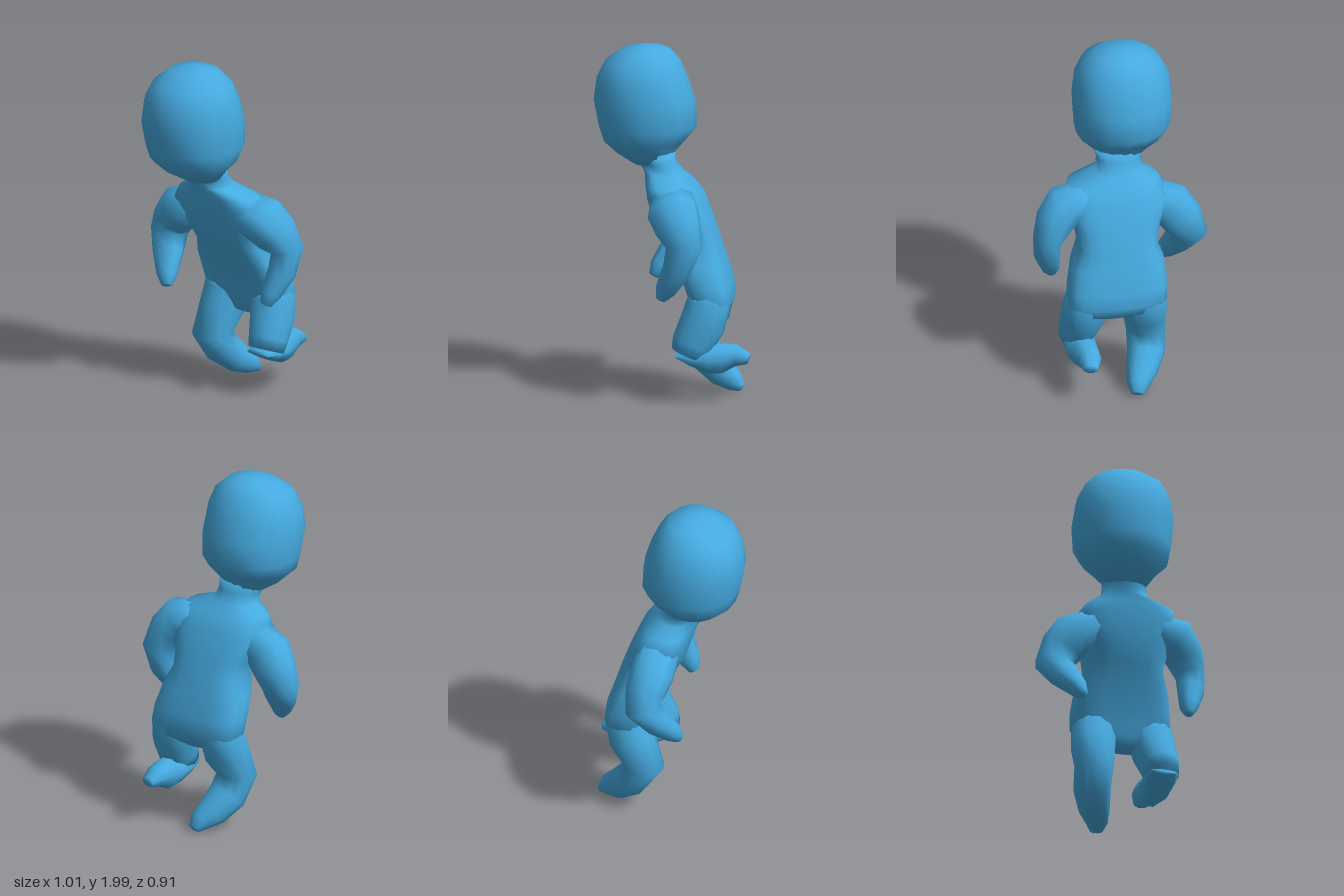
import * as THREE from 'three';

const skin = new THREE.MeshStandardMaterial({ color: 0x45aae0 });
skin.name = 'skyBlue';

// Closed smooth skin through rings { c: centre, t: direction, a, b: radii, p: roundness }, ordered along t.
// Roundness below 1 squares off the cross-section.
function loft(name, rings, sides) {
  const pos = [], idx = [];
  const soft = (v, p) => Math.sign(v) * Math.pow(Math.abs(v), p);
  for (const { c, t, a, b, p } of rings) {
    const u = new THREE.Vector3(1, 0, 0).addScaledVector(t, -t.x).normalize();
    const v = new THREE.Vector3().crossVectors(t, u);
    for (let j = 0; j < sides; j++) {
      const th = (j / sides) * Math.PI * 2;
      const q = c.clone()
        .addScaledVector(u, a * soft(Math.cos(th), p))
        .addScaledVector(v, b * soft(Math.sin(th), p));
      pos.push(q.x, q.y, q.z);
    }
  }
  const n = rings.length;
  for (let i = 0; i < n - 1; i++) {
    for (let j = 0; j < sides; j++) {
      const k = (j + 1) % sides;
      const p = i * sides + j, q = i * sides + k;
      idx.push(p, q, p + sides, q, q + sides, p + sides);
    }
  }
  // End caps
  const first = rings[0].c, last = rings[n - 1].c, s = n * sides, base = (n - 1) * sides;
  pos.push(first.x, first.y, first.z, last.x, last.y, last.z);
  for (let j = 0; j < sides; j++) {
    const k = (j + 1) % sides;
    idx.push(s, k, j, s + 1, base + j, base + k);
  }
  const g = new THREE.BufferGeometry();
  g.setAttribute('position', new THREE.Float32BufferAttribute(pos, 3));
  g.setIndex(idx);
  g.computeVertexNormals();
  const mesh = new THREE.Mesh(g, skin);
  mesh.name = name;
  return mesh;
}

// Level slices, top down: [y, xMin, xMax, zMin, zMax, roundness]
const slices = (list) => list.map(([y, x0, x1, z0, z1, p = 0.95]) => ({
  c: new THREE.Vector3((x0 + x1) / 2, y, (z0 + z1) / 2),
  t: new THREE.Vector3(0, -1, 0),
  a: (x1 - x0) / 2,
  b: (z1 - z0) / 2,
  p,
}));

// Rings square to a path: [x, y, z, radius across, radius in depth]
function along(list) {
  const pts = list.map((p) => new THREE.Vector3(p[0], p[1], p[2]));
  return list.map((p, i) => {
    const t = new THREE.Vector3();
    if (i > 0) t.add(pts[i].clone().sub(pts[i - 1]).normalize());
    if (i < pts.length - 1) t.add(pts[i + 1].clone().sub(pts[i]).normalize());
    return { c: pts[i], t: t.normalize(), a: p[3], b: p[4], p: 0.92 };
  });
}

export function createModel() {
  const model = new THREE.Group();
  model.name = 'figure';

  model.add(loft('head', slices([
    [2.0, -0.1, 0.01, 0.1, 0.2],
    [1.975, -0.2, 0.1, 0.02, 0.29],
    [1.91, -0.275, 0.175, -0.04, 0.385],
    [1.81, -0.325, 0.215, -0.085, 0.435],
    [1.68, -0.342, 0.23, -0.125, 0.452],
    [1.54, -0.328, 0.222, -0.133, 0.425],
    [1.46, -0.3, 0.205, -0.07, 0.4],
    [1.39, -0.225, 0.135, -0.01, 0.325],
    [1.33, -0.13, 0.09, 0.0, 0.225],
  ]), 16));

  // Neck, leaning trunk and pelvis
  model.add(loft('torso', slices([
    [1.4, -0.18, 0.12, -0.01, 0.22],
    [1.34, -0.15, 0.105, -0.015, 0.19],
    [1.28, -0.145, 0.115, -0.06, 0.16, 0.85],
    [1.23, -0.235, 0.28, -0.115, 0.15, 0.75],
    [1.15, -0.29, 0.3, -0.175, 0.14, 0.7],
    [1.0, -0.225, 0.265, -0.235, 0.095, 0.65],
    [0.9, -0.195, 0.25, -0.27, 0.04, 0.65],
    [0.8, -0.235, 0.295, -0.3, -0.01, 0.65],
    [0.67, -0.247, 0.325, -0.342, -0.07, 0.65],
    [0.58, -0.24, 0.335, -0.352, -0.1, 0.65],
    [0.52, -0.19, 0.3, -0.335, -0.12, 0.7],
    [0.465, -0.03, 0.14, -0.26, -0.14, 0.8],
  ]), 20));

  model.add(loft('rightArm', along([
    [-0.18, 1.12, -0.01, 0.1, 0.12],
    [-0.295, 1.045, -0.02, 0.13, 0.125],
    [-0.355, 0.965, -0.04, 0.123, 0.115],
    [-0.4, 0.87, -0.045, 0.105, 0.1],
    [-0.355, 0.775, 0.02, 0.092, 0.075],
    [-0.3, 0.67, 0.1, 0.058, 0.055],
    [-0.275, 0.62, 0.13, 0.03, 0.03],
  ]), 10));

  model.add(loft('leftArm', along([
    [0.18, 1.14, -0.015, 0.1, 0.13],
    [0.305, 1.105, -0.025, 0.13, 0.145],
    [0.37, 1.03, -0.06, 0.115, 0.13],
    [0.42, 0.935, -0.095, 0.082, 0.105],
    [0.412, 0.81, -0.055, 0.076, 0.085],
    [0.382, 0.69, 0.01, 0.055, 0.062],
    [0.37, 0.63, 0.04, 0.03, 0.03],
  ]), 10));

  // Right leg, shin sloping back
  model.add(loft('rightLeg', along([
    [-0.1, 0.65, -0.21, 0.11, 0.1],
    [-0.112, 0.57, -0.215, 0.128, 0.125],
    [-0.122, 0.46, -0.185, 0.127, 0.13],
    [-0.14, 0.3, -0.11, 0.112, 0.115],
    [-0.13, 0.19, -0.185, 0.108, 0.1],
    [-0.09, 0.11, -0.27, 0.09, 0.085],
    [-0.055, 0.065, -0.34, 0.064, 0.06],
    [-0.045, 0.03, -0.385, 0.037, 0.025],
  ]), 12));

  // Left leg, bent at the knee with the foot raised behind
  model.add(loft('leftThigh', along([
    [0.2, 0.65, -0.21, 0.11, 0.1],
    [0.217, 0.57, -0.215, 0.128, 0.125],
    [0.237, 0.46, -0.185, 0.123, 0.13],
    [0.253, 0.35, -0.13, 0.108, 0.118],
    [0.255, 0.29, -0.105, 0.1, 0.1],
  ]), 12));
  model.add(loft('leftShinAndFoot', along([
    [0.25, 0.285, -0.04, 0.08, 0.015],
    [0.25, 0.275, -0.12, 0.098, 0.05],
    [0.245, 0.26, -0.22, 0.09, 0.08],
    [0.235, 0.265, -0.28, 0.077, 0.09],
    [0.226, 0.28, -0.375, 0.066, 0.062],
    [0.233, 0.262, -0.445, 0.042, 0.03],
  ]), 10));

  return model;
}
